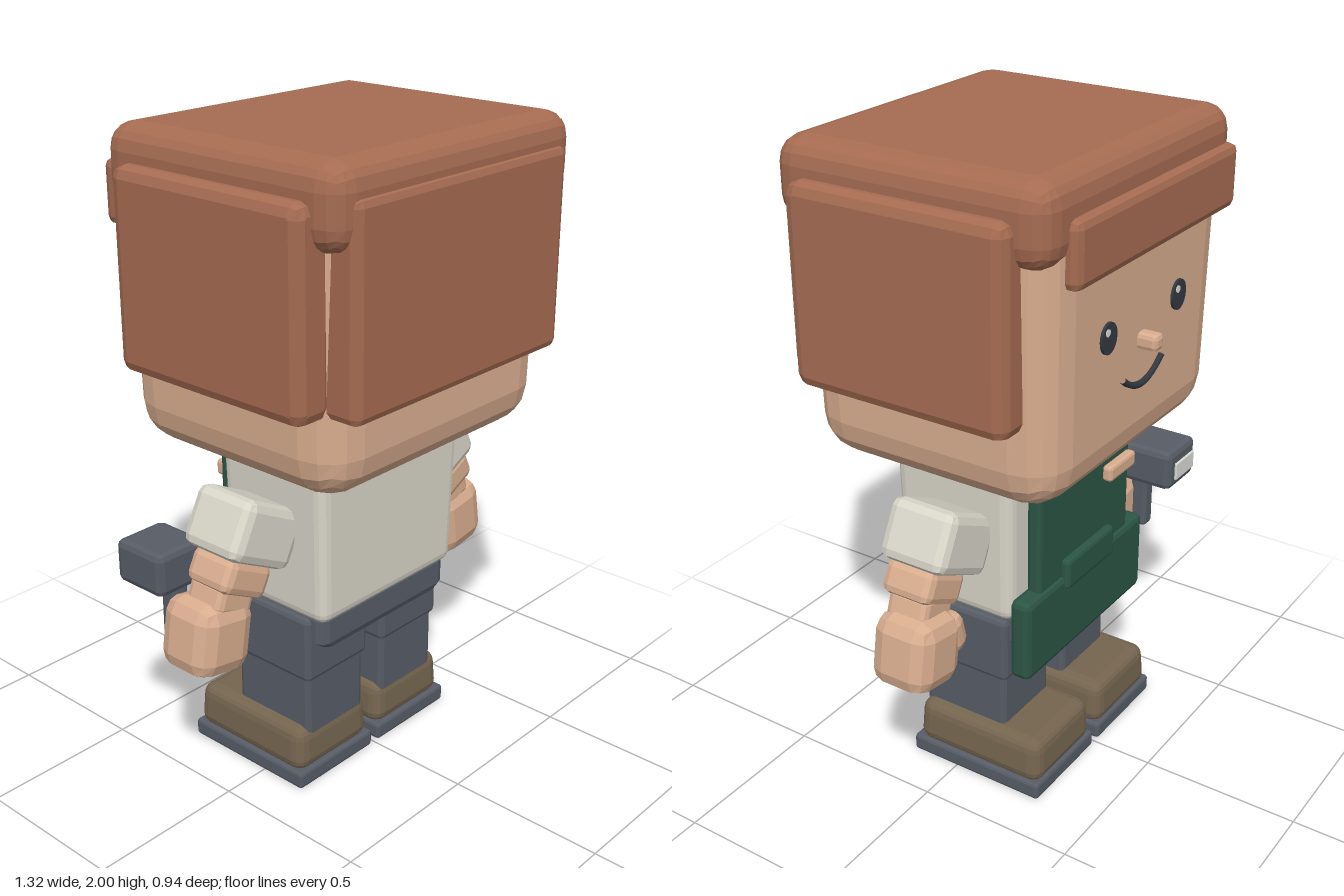
import * as THREE from 'three';
import { RoundedBoxGeometry } from 'three/addons/geometries/RoundedBoxGeometry.js';

const makeMaterial = (name, color) => {
  const m = new THREE.MeshStandardMaterial({ color });
  m.name = name;
  return m;
};

// Box given by its limits, with faceted bevels; rule may move its vertices
function bevelBox(x, y, z, bevel, segments = 1, rule) {
  const size = [x[1] - x[0], y[1] - y[0], z[1] - z[0]];
  const r = Math.min(bevel, Math.min(...size) * 0.45);
  const g = new RoundedBoxGeometry(...size, segments, r);
  if (rule) {
    const p = g.attributes.position, v = new THREE.Vector3();
    for (let i = 0; i < p.count; i++) {
      v.fromBufferAttribute(p, i);
      rule(v);
      p.setXYZ(i, v.x, v.y, v.z);
    }
  }
  g.computeVertexNormals();
  return g;
}

export function createModel() {
  const model = new THREE.Group();
  model.name = 'shopWorker';

  const hair = makeMaterial('hair brown', 0xa66c52);
  const skin = makeMaterial('skin', 0xdaae90);
  const shirt = makeMaterial('shirt cream', 0xdad7ca);
  const slate = makeMaterial('slate', 0x575c66);
  const boot = makeMaterial('boot brown', 0x75654f);
  const green = makeMaterial('apron green', 0x2c5645);
  const dark = makeMaterial('face dark', 0x343a41);
  const white = makeMaterial('light grey', 0xdcdcd6);

  const add = (name, geometry, material, parent = model) => {
    const mesh = new THREE.Mesh(geometry, material);
    mesh.name = name;
    parent.add(mesh);
    return mesh;
  };
  const box = (name, material, x, y, z, bevel = 0.02, segments = 1, rule, parent = model) => {
    const mesh = add(name, bevelBox(x, y, z, bevel, segments, rule), material, parent);
    mesh.position.set((x[0] + x[1]) / 2, (y[0] + y[1]) / 2, (z[0] + z[1]) / 2);
    return mesh;
  };

  // Head, with a jaw that narrows slightly
  box('head', skin, [-0.49, 0.49], [1.055, 1.93], [-0.42, 0.42], 0.13, 2, (v) => {
    if (v.y < -0.3) { v.x *= 0.97; v.z *= 0.98; }
  });

  // Hair blocks
  box('hairCap', hair, [-0.51, 0.51], [1.76, 2], [-0.42, 0.455], 0.075, 2);
  box('hairBack', hair, [-0.45, 0.45], [1.31, 1.91], [0.33, 0.47], 0.025);
  box('hairFringe', hair, [-0.48, 0.4], [1.7, 1.89], [-0.45, -0.36], 0.025);
  for (const s of [-1, 1]) {
    const x = s < 0 ? [-0.56, -0.43] : [0.43, 0.56];
    box('hairSide', hair, x, [1.31, 1.9], [-0.33, 0.37], 0.035);
    box('hairRearCorner', hair, s < 0 ? [-0.56, -0.43] : [0.43, 0.56], [1.32, 1.89], [0.28, 0.37], 0.03);
  }

  // Face, on the -z side
  box('nose', skin, [-0.025, 0.025], [1.415, 1.465], [-0.475, -0.4], 0.014);
  for (const s of [-1, 1]) {
    const eye = add('eye', new THREE.CylinderGeometry(0.04, 0.04, 0.008, 20), dark);
    eye.rotation.x = Math.PI / 2;
    eye.scale.z = 1.15;
    eye.position.set(s * 0.195, 1.51, -0.422);
    const glint = add('eyeGlint', new THREE.CylinderGeometry(0.011, 0.011, 0.004, 10), white);
    glint.rotation.x = Math.PI / 2;
    glint.position.set(s * 0.195 + 0.012, 1.53, -0.427);
  }
  const smile = new THREE.QuadraticBezierCurve3(
    new THREE.Vector3(-0.11, 1.355, -0.421),
    new THREE.Vector3(0, 1.26, -0.421),
    new THREE.Vector3(0.11, 1.355, -0.421));
  add('smile', new THREE.TubeGeometry(smile, 16, 0.01, 6), dark);

  // Torso, narrower at the waist
  box('torso', shirt, [-0.315, 0.315], [0.57, 1.045], [-0.185, 0.225], 0.035, 2, (v) => {
    const k = 0.96 + 0.085 * v.y + 0.02;
    v.x *= k; v.z *= k;
  });
  box('collar', shirt, [-0.22, 0.22], [1.02, 1.07], [-0.13, 0.13], 0.01);
  box('neck', skin, [-0.14, 0.14], [1.0, 1.12], [-0.1, 0.1], 0.02);

  // Hips and legs
  box('hips', slate, [-0.288, 0.288], [0.465, 0.6], [-0.17, 0.2], 0.03, 1, (v) => {
    if (v.y < -0.05) v.x *= 0.93;
  });
  for (const s of [-1, 1]) {
    const span = (a, b) => (s < 0 ? [-b, -a] : [a, b]);
    box('thigh', slate, span(0.035, 0.305), [0.355, 0.57], [-0.16, 0.155], 0.015);
    box('shin', slate, span(0.045, 0.295), [0.15, 0.37], [-0.15, 0.145], 0.015);
    box('boot', boot, span(0.02, 0.34), [0.04, 0.19], [-0.3, 0.152], 0.04, 2, (v) => {
      if (v.y > 0) { v.x *= 0.97; v.z *= 0.985; }
    });
    box('bootSole', slate, span(0.015, 0.348), [0, 0.055], [-0.305, 0.162], 0.01);
  }

  // Arms: sleeve, forearm, fist and thumb, leaning outward
  const arm = [
    ['sleeve', shirt, [0.405, 0.87, 0], [0.25, 0.185, 0.225], 27, 0.03],
    ['forearm', skin, [0.475, 0.752, 0.007], [0.18, 0.105, 0.17], 27, 0.025],
    ['wrist', skin, [0.505, 0.69, 0], [0.14, 0.09, 0.14], 20, 0.02],
    ['fist', skin, [0.548, 0.578, -0.018], [0.205, 0.225, 0.2], 9, 0.05],
    ['thumb', skin, [0.465, 0.605, -0.06], [0.08, 0.13, 0.11], -14, 0.03],
  ];
  for (const s of [-1, 1]) {
    const group = new THREE.Group();
    group.name = s > 0 ? 'leftSideArm' : 'rightSideArm';
    model.add(group);
    for (const [name, material, p, size, angle, bevel] of arm) {
      const part = box(name, material, ...size.map((d) => [-d / 2, d / 2]), bevel, 1, null, group);
      part.position.set(s * p[0], p[1], p[2]);
      part.rotation.z = s * THREE.MathUtils.degToRad(angle);
    }
  }

  // Apron with skirt pocket, small pocket, straps and badge
  box('apronBib', green, [-0.255, 0.255], [0.6, 1.05], [-0.25, -0.203], 0.012);
  box('apronSkirt', green, [-0.335, 0.335], [0.415, 0.68], [-0.263, -0.195], 0.018);
  box('apronPocket', green, [-0.135, 0.135], [0.635, 0.735], [-0.275, -0.24], 0.012);
  for (const s of [-1, 1]) {
    box('apronStrap', green, [s * 0.2 - 0.03, s * 0.2 + 0.03], [1.0, 1.065], [-0.24, -0.15], 0.01);
  }
  box('badge', skin, [-0.245, -0.095], [0.9, 0.95], [-0.28, -0.245], 0.01);

  // Handheld scanner
  const scanner = new THREE.Group();
  scanner.name = 'scanner';
  model.add(scanner);
  box('scannerHead', slate, [-0.655, -0.475], [0.695, 0.83], [-0.28, -0.09], 0.02, 1, null, scanner);
  box('scannerWindow', white, [-0.625, -0.505], [0.73, 0.79], [-0.292, -0.283], 0.003, 1, null, scanner);
  box('scannerWindowMount', white, [-0.6, -0.53], [0.74, 0.78], [-0.286, -0.27], 0.002, 1, null, scanner);
  box('scannerHandle', slate, [-0.59, -0.535], [0.5, 0.72], [-0.165, -0.105], 0.012, 1, null, scanner);

  return model;
}
